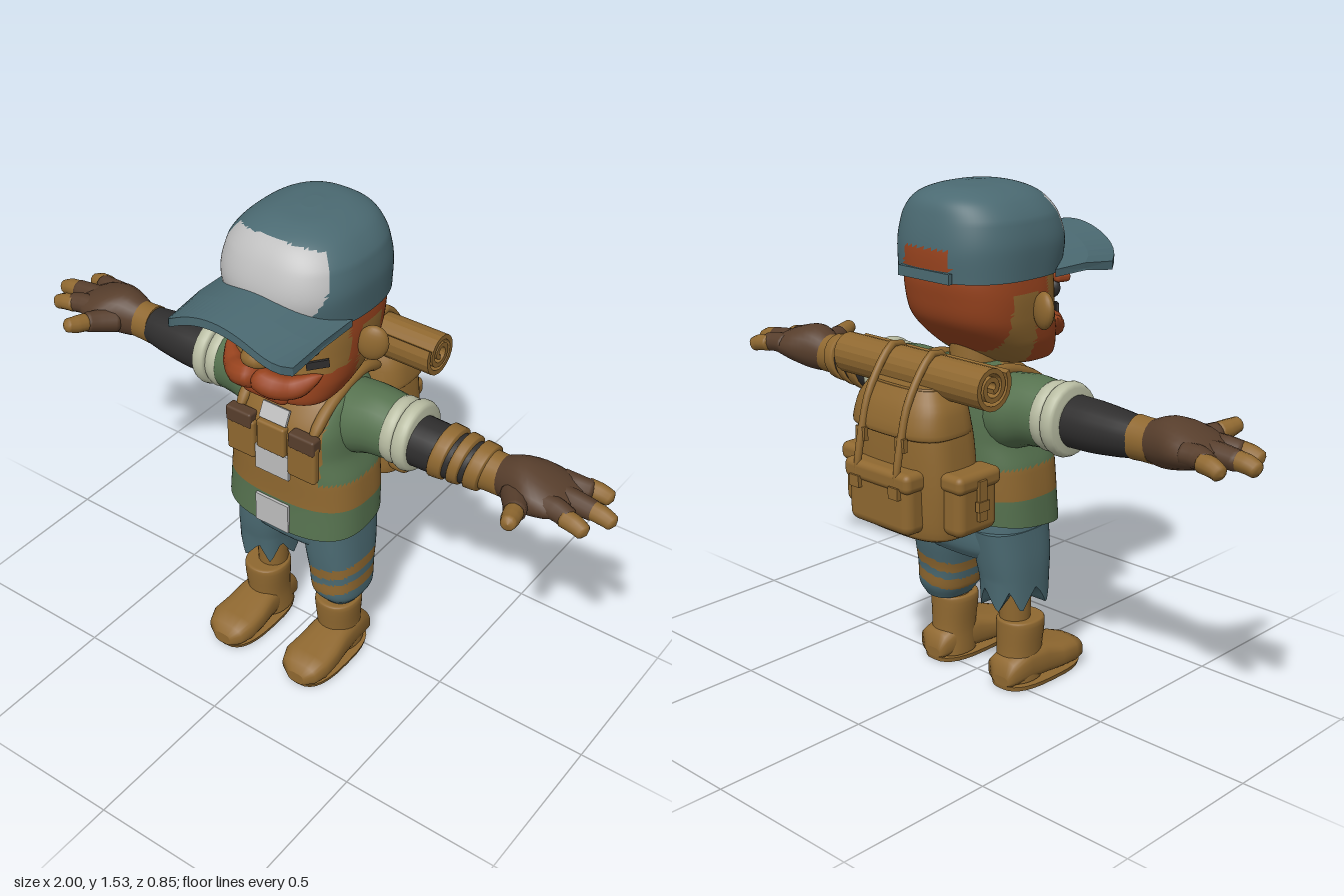
import * as THREE from 'three';
import { RoundedBoxGeometry } from 'three/addons/geometries/RoundedBoxGeometry.js';

const colours = {
  tan: 0x8f6830, teal: 0x4b6a72, red: 0x98431e, green: 0x56724f, black: 0x2e2d2d,
  darkBrown: 0x573e2c, cream: 0xb9bda3, white: 0xbebebe
};
const V = (x, y, z) => new THREE.Vector3(x, y, z);

// Closed skin over equal-length rings, capped at both ends and turned outward
function skin(rings) {
  const n = rings[0].length, pos = [], idx = [];
  rings.forEach(r => r.forEach(p => pos.push(p.x, p.y, p.z)));
  for (let i = 0; i < rings.length - 1; i++) for (let j = 0; j < n; j++) {
    const a = i * n + j, b = i * n + (j + 1) % n;
    idx.push(a, b, a + n, b, b + n, a + n);
  }
  [rings[0], rings[rings.length - 1]].forEach((r, k) => {
    const start = pos.length / 3;
    const c = r.reduce((s, p) => s.add(p), V(0, 0, 0)).divideScalar(n);
    [...r, c].forEach(p => pos.push(p.x, p.y, p.z));
    for (let j = 0; j < n; j++) {
      const a = start + j, b = start + (j + 1) % n;
      idx.push(...(k ? [a, b, start + n] : [b, a, start + n]));
    }
  });
  let volume = 0;
  const at = i => V(pos[i * 3], pos[i * 3 + 1], pos[i * 3 + 2]);
  for (let t = 0; t < idx.length; t += 3) volume += at(idx[t]).dot(at(idx[t + 1]).cross(at(idx[t + 2])));
  if (volume < 0) for (let t = 0; t < idx.length; t += 3) [idx[t], idx[t + 1]] = [idx[t + 1], idx[t]];
  const g = new THREE.BufferGeometry();
  g.setAttribute('position', new THREE.Float32BufferAttribute(pos, 3));
  g.setIndex(idx);
  g.computeVertexNormals();
  return g;
}

// Smoothly resampled rows of numbers
function resample(rows, steps) {
  const a = new THREE.CatmullRomCurve3(rows.map(r => V(r[0], r[1], r[2])));
  const b = new THREE.CatmullRomCurve3(rows.map(r => V(r[3], r[4] ?? 0, 0)));
  return Array.from({ length: steps + 1 }, (_, i) => {
    const p = a.getPoint(i / steps), q = b.getPoint(i / steps);
    return [p.x, p.y, p.z, q.x, q.y];
  });
}
const sgnPow = (v, e) => Math.sign(v) * Math.abs(v) ** e;

// Upright form: rows of [y, front z, back z, half width, centre x]
function upright(rows, { steps = 30, n = 48, p = 2.5, bend } = {}) {
  return skin(resample(rows, steps).map(([y, f, b, w, cx], i) => Array.from({ length: n }, (_, j) => {
    const t = j / n * Math.PI * 2;
    const v = V(cx + w * sgnPow(Math.cos(t), 2 / p), y, (f + b) / 2 + (f - b) / 2 * sgnPow(Math.sin(t), 2 / p));
    if (bend) bend(v, t, i / steps);
    return v;
  })));
}

// Sideways form: rows of [x, centre y, centre z, half height, half depth]
function sideways(rows, side = 1, steps = 12, tilt = 0) {
  return skin(resample(rows, steps).map(([x, y, z, h, d]) => Array.from({ length: 24 }, (_, j) => {
    const t = j / 24 * Math.PI * 2;
    return V(side * (x + tilt * Math.sin(t)), y + h * Math.sin(t), z + d * Math.cos(t));
  })));
}

// Splits faces into material groups by a rule on their centres
function paint(g, count, rule) {
  const p = g.attributes.position, old = g.index.array, bins = Array.from({ length: count }, () => []);
  for (let t = 0; t < old.length; t += 3) {
    const c = V(0, 0, 0);
    for (let k = 0; k < 3; k++) c.add(V(0, 0, 0).fromBufferAttribute(p, old[t + k]));
    c.divideScalar(3);
    bins[rule(c)].push(old[t], old[t + 1], old[t + 2]);
  }
  g.setIndex(bins.flat());
  let s = 0;
  bins.forEach((b, i) => { g.addGroup(s, b.length, i); s += b.length; });
  return g;
}

export function createModel() {
  const model = new THREE.Group();
  const M = {};
  for (const k in colours) { M[k] = new THREE.MeshStandardMaterial({ color: colours[k] }); M[k].name = k; }
  const add = (name, g, mat, at, rot) => {
    const m = new THREE.Mesh(g, mat);
    m.name = name;
    if (at) m.position.set(...at);
    if (rot) m.rotation.set(...rot);
    model.add(m);
    return m;
  };
  const box = (name, size, mat, at, rot) => add(name, new THREE.BoxGeometry(...size), mat, at, rot);
  const soft = (name, size, r, mat, at, rot) => add(name, new RoundedBoxGeometry(...size, 3, r), mat, at, rot);
  // Tapered round-ended limb along a few points
  const limb = (name, pts, radii, mat) => {
    const c = new THREE.CatmullRomCurve3(pts.map(q => V(...q))), steps = 16;
    const fr = c.computeFrenetFrames(steps);
    add(name, skin(Array.from({ length: steps + 1 }, (_, i) => {
      const u = i / steps, f = u * (radii.length - 1), k = Math.min(Math.floor(f), radii.length - 2);
      const r = (radii[k] + (radii[k + 1] - radii[k]) * (f - k)) * Math.min(1, Math.sqrt(Math.min(u, 1 - u) * 8) + 0.05);
      return Array.from({ length: 12 }, (_, j) => {
        const t = j / 12 * Math.PI * 2;
        return c.getPointAt(u).addScaledVector(fr.normals[i], r * Math.cos(t)).addScaledVector(fr.binormals[i], r * Math.sin(t));
      });
    })), mat);
  };

  // Head with hair and beard
  add('head', paint(upright([[1.0, .18, .04, .1], [1.015, .22, -.01, .155], [1.08, .222, -.1, .187], [1.15, .21, -.165, .2],
    [1.22, .205, -.185, .204], [1.28, .2, -.19, .2], [1.33, .18, -.17, .18]], { steps: 44, n: 72, p: 2.6 }), 2, c => {
    const hair = c.z < -.06 || (c.y > 1.2 && c.z < .085 && (c.y > 1.235 || c.z > .04));
    const beard = c.z > .045 && c.y < 1.145 - (c.z - .05) * .25;
    return hair || beard || (c.z > .045 && c.z < .085) ? 1 : 0;
  }), [M.tan, M.red]);
  add('neck', new THREE.CylinderGeometry(.075, .085, .16, 24), M.tan, [0, 1.0, -.005]);
  add('nose', upright([[1.14, .25, .18, .028], [1.15, .288, .18, .046], [1.175, .292, .18, .044], [1.22, .26, .17, .03], [1.27, .235, .17, .034]], { steps: 12, n: 16 }), M.tan);
  for (const s of [1, -1]) {
    const ear = add('ear', new THREE.SphereGeometry(1, 20, 14), M.tan, [s * .232, 1.183, .03], [0, s * .35, s * -.2]);
    ear.scale.set(.046, .056, .024);
    const eye = add('eye', new THREE.SphereGeometry(.031, 18, 12), M.black, [s * .13, 1.212, .178]);
    eye.scale.z = .6;
    soft('eyebrow', [.125, .028, .05], .012, M.red, [s * .117, 1.247, .2], [0, s * .3, s * -.04]);
    box('cheekMark', [.065, .024, .008], M.black, [s * .152, 1.158, .176], [0, s * .75, s * .12]);
    limb('moustache', [[s * -.01, 1.105, .252], [s * .05, 1.092, .255], [s * .1, 1.085, .222], [s * .165, 1.125, .168]], [.036, .038, .032, .008], M.red);
  }
  soft('beardTip', [.16, .07, .06], .025, M.red, [0, 1.04, .205]);

  // Cap
  add('capCrown', paint(upright([[1.275, .235, -.212, .214], [1.36, .25, -.214, .218], [1.44, .225, -.2, .203],
    [1.49, .185, -.18, .162], [1.52, .12, -.13, .1], [1.53, .03, -.04, .025]], { steps: 40, n: 80, p: 2.5 }), 3, c => {
    if (c.z < -.1 && Math.abs(c.x) < .09 && c.y > 1.31 && c.y < 1.365) return 2;
    return c.z > .22 - (c.y - 1.28) * .45 && c.y < 1.5 - c.x * c.x * .8 && c.y > 1.28 ? 1 : 0;
  }), [M.teal, M.white, M.red]);
  box('capStrap', [.2, .03, .014], M.teal, [0, 1.29, -.211]);
  const brim = [];
  for (let i = 0; i <= 24; i++) {
    const u = i / 12 - 1, y = 1.365 - .078 * u * u, inner = .1 + .1 * Math.sqrt(1 - u * u);
    const outer = .428 - .055 * u ** 8 - .012 * u * u, x = u * .212, dip = .015 * u * u;
    brim.push([V(x, y, inner), V(x, y, (inner + outer) / 2), V(x * .98, y - dip, outer), V(x * .98, y - dip - .026, outer),
      V(x, y - .022, (inner + outer) / 2), V(x, y - .022, inner)]);
  }
  add('capBrim', skin(brim).toNonIndexed(), M.teal).geometry.computeVertexNormals();

  // Shirt with waist band and vest front
  add('shirt', paint(upright([[.525, .195, -.13, .236], [.63, .188, -.135, .232], [.72, .188, -.14, .222], [.8, .188, -.145, .195],
    [.88, .185, -.145, .19], [.96, .14, -.135, .175], [1.0, .1, -.11, .13], [1.015, .07, -.09, .085]], { steps: 50, n: 72, p: 2.7,
    bend: (v, t, u) => { v.y += Math.max(0, .1 - u) * (.15 - v.z); } }), 2,
    c => (c.y > .63 && c.y < .722) || (c.y >= .722 && c.z > 0 && Math.abs(c.x) < .148) ? 1 : 0), [M.green, M.tan]);
  for (const [y, h, w, z] of [[.925, .05, .095, .175], [.76, .085, .12, .19], [.572, .1, .12, .194]])
    box('shirtPlacket', [w, h, .009], M.white, [0, y, z], [y > .9 ? -.45 : 0, 0, 0]);
  soft('chestBuckle', [.1, .1, .03], .008, M.tan, [0, .85, .187]);
  for (const s of [1, -1]) {
    soft('chestPocket', [.1, .13, .03], .01, M.tan, [s * .11, .815, .188]);
    soft('pocketFlap', [.092, .052, .04], .008, M.darkBrown, [s * .113, .88, .187]);
  }

  // Arms, gloves and fingers
  for (const s of [1, -1]) {
    add('sleeve', sideways([[.08, .88, -.01, .11, .1], [.17, .885, -.01, .113, .11], [.24, .9, -.008, .105, .1], [.31, .9, -.008, .098, .094]], s), M.green);
    for (const [x, r] of [[.297, .104], [.342, .11]])
      add('sleeveCuff', sideways([[x - .004, .9, -.008, r - .03, r - .03], [x, .9, -.008, r - .006, r - .01], [x + .02, .9, -.008, r, r - .006],
        [x + .04, .9, -.008, r - .008, r - .012], [x + .045, .9, -.008, r - .035, r - .035]], s), M.cream);
    add('arm', sideways([[.34, .897, 0, .077, .077], [.45, .897, 0, .075, .075], [.55, .898, 0, .066, .066], [.63, .9, 0, .055, .052]], s), M.black);
    add('gloveBand', sideways([[.6, .9, 0, .064, .057], [.63, .9, 0, .062, .056], [.665, .9, 0, .062, .055]], s, 4), M.tan);
    add('glove', sideways([[.65, .902, 0, .058, .052], [.71, .91, .002, .073, .074], [.77, .912, .005, .064, .097], [.83, .91, .002, .045, .093], [.875, .908, 0, .022, .07]], s), M.darkBrown);
    for (const [zA, zB, end] of [[-.062, -.09, .945], [-.002, 0, .998], [.058, .08, .955]]) {
      const mid = end - .085, zM = zA + (zB - zA) * .55;
      limb('gloveFinger', [[s * .79, .915, zA], [s * .85, .915, zA], [s * (mid + .035), .908, zM]], [.033, .033, .029], M.darkBrown);
      limb('fingertip', [[s * mid, .912, zM], [s * (mid + .05), .906, (zM + zB) / 2], [s * end, .893, zB]], [.028, .027, .022], M.tan);
    }
    limb('gloveThumb', [[s * .71, .9, .04], [s * .75, .91, .1], [s * .775, .92, .15]], [.04, .036, .03], M.darkBrown);
    limb('thumbTip', [[s * .765, .918, .13], [s * .778, .925, .175], [s * .79, .935, .212]], [.029, .027, .02], M.tan);
  }
  for (const [x, w, r] of [[.455, .045, .084], [.515, .035, .079], [.565, .045, .074]])
    add('armWrap', sideways([[x, .9, 0, r - .015, r - .015], [x + .004, .9, 0, r, r], [x + w - .004, .9, 0, r - .003, r - .003], [x + w, .9, 0, r - .015, r - .015]], 1, 9, .012), M.tan);

  // Trousers: long wrapped left leg, torn right leg
  add('trouserHips', upright([[.62, .14, -.11, .185], [.54, .15, -.12, .205], [.46, .148, -.118, .214], [.425, .12, -.1, .19]], { steps: 14 }), M.teal);
  add('leftTrouserLeg', paint(upright([[.52, .145, -.115, .09, .12], [.42, .14, -.1, .092, .128], [.33, .132, -.078, .087, .138], [.26, .128, -.07, .082, .143], [.22, .1, -.05, .06, .143]],
    { steps: 40, n: 48 }), 2, c => {
    const y = c.y - (c.x - .14) * .25;
    return (y > .335 && y < .37) || (y > .272 && y < .31) ? 1 : 0;
  }), [M.teal, M.tan]);
  add('rightTrouserLeg', upright([[.52, .145, -.115, .09, -.12], [.42, .14, -.1, .09, -.13], [.34, .128, -.085, .085, -.138]], { steps: 14, n: 48,
    bend: (v, t, u) => { if (u > .85) v.y -= (u - .85) / .15 * .075 * Math.abs((t * 7 / (2 * Math.PI)) % 1 * 2 - 1); } }), M.teal);
  add('rightShin', new THREE.CylinderGeometry(.056, .046, .26, 20), M.tan, [-.13, .3, .03]);
  add('leftShin', new THREE.CylinderGeometry(.056, .056, .1, 20), M.tan, [.143, .2, .035]);

  // Boots
  for (const s of [1, -1]) {
    const x = s * .14;
    add('bootShaft', upright([[.02, .11, -.045, .068, x], [.1, .112, -.032, .063, x], [.195, .12, -.03, .07, x], [.212, .118, -.028, .067, x], [.214, .1, -.01, .05, x]], { steps: 16, n: 28, p: 2.2 }), M.tan);
    const foot = [[-.05, .03, .03], [-.042, .058, .085], [.03, .064, .11], [.1, .07, .108], [.16, .077, .088], [.22, .08, .085], [.262, .064, .07], [.28, .03, .04]];
    add('bootFoot', skin(foot.map(([z, w, h]) => Array.from({ length: 24 }, (_, j) => {
      const t = j / 24 * Math.PI * 2;
      return V(x + s * .006 + w * sgnPow(Math.cos(t), .65), .012 + h * Math.max(0, .5 + .5 * sgnPow(Math.sin(t), .7)), z);
    }))), M.tan);
    add('bootSole', upright([[0, .272, -.048, .078, x + s * .005], [.014, .278, -.05, .081, x + s * .005]], { steps: 2, n: 28, p: 2.8 }), M.tan);
  }

  // Backpack with pockets, straps and bedroll
  add('packBody', upright([[.555, -.15, -.34, .16], [.57, -.132, -.355, .185], [.7, -.14, -.365, .19], [.85, -.145, -.365, .178], [.94, -.16, -.355, .16], [1.0, -.18, -.335, .125]], { steps: 24, p: 3.2 }), M.tan);
  add('packLid', upright([[.86, -.155, -.375, .172], [.87, -.15, -.385, .182], [.94, -.16, -.37, .17], [.995, -.18, -.34, .135]], { steps: 10, p: 3 }), M.tan);
  soft('backPocket', [.25, .17, .1], .03, M.tan, [0, .67, -.36]);
  soft('backPocketFlap', [.265, .06, .11], .02, M.tan, [0, .745, -.362]);
  for (const s of [1, -1]) {
    soft('sidePocket', [.08, .17, .16], .028, M.tan, [s * .2, .67, -.24]);
    soft('sidePocketFlap', [.09, .055, .172], .02, M.tan, [s * .203, .745, -.24]);
    box('sidePocketStrap', [.012, .12, .03], M.tan, [s * .25, .69, -.24]);
    box('sideBuckle', [.016, .03, .042], M.tan, [s * .252, .675, -.24]);
    limb('packStrap', [[s * .08, 1.0, -.17], [s * .08, 1.09, -.25], [s * .08, .98, -.35], [s * .08, .86, -.388], [s * .08, .72, -.416]], [.011, .012, .012, .012, .011], M.tan);
    box('packBuckle', [.038, .04, .014], M.tan, [s * .08, .85, -.388]);
    box('pocketBuckle', [.038, .035, .014], M.tan, [s * .08, .715, -.416]);
    limb('shoulderStrap', [[s * .13, .96, -.17], [s * .135, 1.005, -.06], [s * .135, .96, .1], [s * .13, .88, .185]], [.018, .018, .018, .018], M.tan);
  }
  const spiral = new THREE.Shape(), turns = 44;
  for (let k = 0; k <= turns * 2 + 1; k++) {
    const inner = k > turns, i = inner ? turns * 2 + 1 - k : k, a = i / turns * Math.PI * 4.6 + 2.6;
    const r = .076 - .056 * i / turns - (inner ? .015 : 0);
    spiral[k ? 'lineTo' : 'moveTo'](r * Math.cos(a), r * Math.sin(a));
  }
  const roll = new THREE.ExtrudeGeometry(spiral, { depth: .58, bevelEnabled: false });
  add('bedroll', roll.translate(0, 0, -.29).rotateY(Math.PI / 2), M.tan, [0, 1.025, -.24]);
  return model;
}
